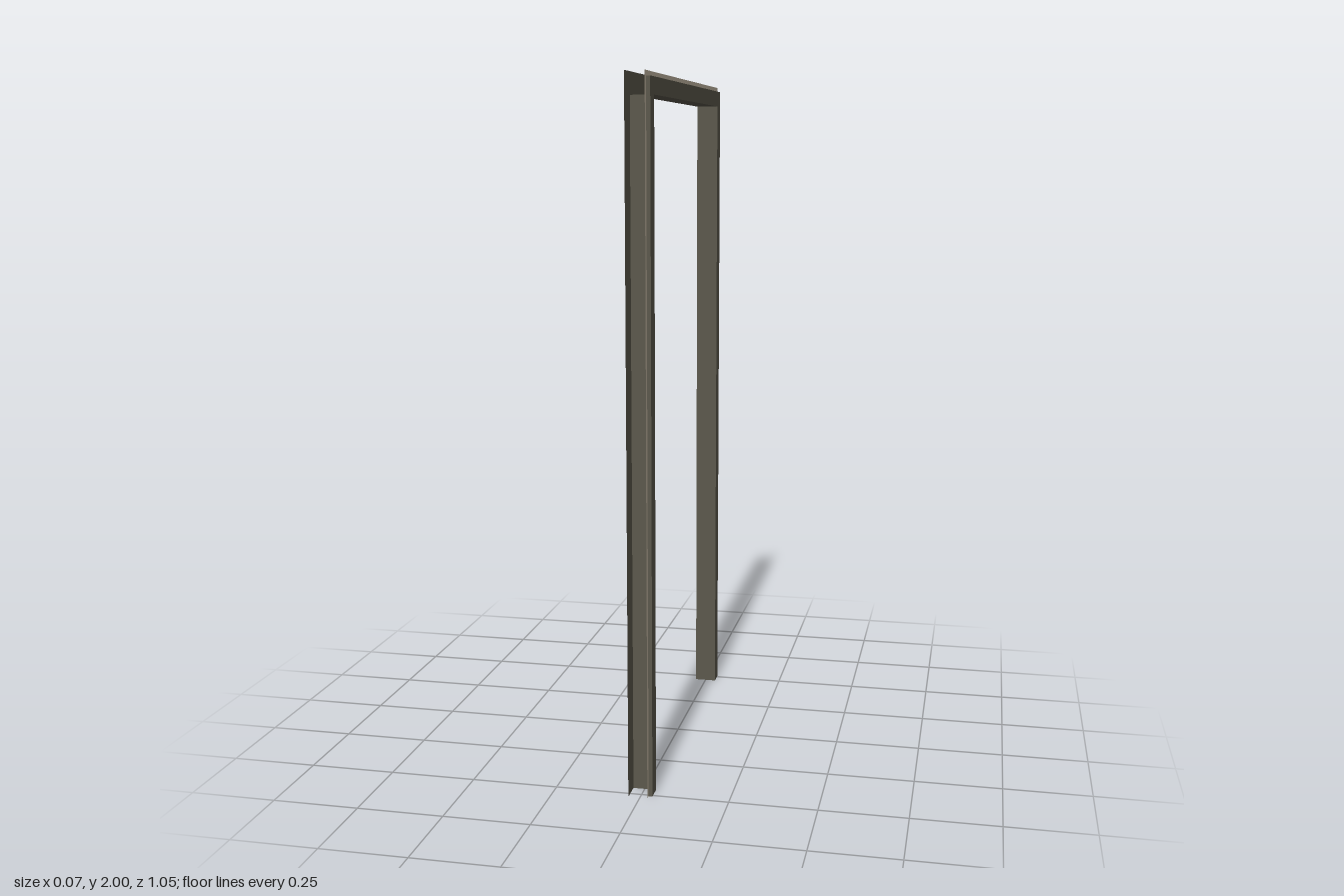
import * as THREE from 'three';

export function createModel() {
  const model = new THREE.Group();
  model.name = 'doorFrame';

  const mat = (name, color) => {
    const m = new THREE.MeshStandardMaterial({ color, side: THREE.DoubleSide });
    m.name = name;
    return m;
  };
  const paint = mat('frame paint', 0x5c594d);
  const pale = mat('pale fin', 0xc8bca6);
  const steel = mat('strike steel', 0xd6d0c4);
  const dark = mat('latch hole', 0x25241f);

  const X = 0.033; // half the depth of the channel
  const lipDepth = 0.011;
  const inner = { z: 0.461, y: 1.939 };
  const lipEdge = { z: 0.507, y: 1.986 };
  const outer = { z: 0.523, y: 2 };

  const add = (name, geo, material) => {
    const mesh = new THREE.Mesh(geo, material);
    mesh.name = name;
    model.add(mesh);
    return mesh;
  };

  // Flat U-shaped sheet between two outlines, facing +x
  const flange = (name, a, b, x, material) => {
    const s = new THREE.Shape([
      [-b.z, 0], [-a.z, 0], [-a.z, a.y], [a.z, a.y],
      [a.z, 0], [b.z, 0], [b.z, b.y], [-b.z, b.y],
    ].map(([u, v]) => new THREE.Vector2(u, v)));
    const geo = new THREE.ShapeGeometry(s).rotateY(Math.PI / 2).translate(x, 0, 0);
    return add(name, geo, material);
  };

  // Sheet running along an outline, spanning a range of x
  const band = (name, o, x0, x1) => {
    const w = x1 - x0, cx = (x0 + x1) / 2;
    for (const side of [-1, 1]) {
      add(name + (side > 0 ? 'Front' : 'Back'),
        new THREE.PlaneGeometry(w, o.y).translate(cx, o.y / 2, side * o.z), paint);
    }
    add(name + 'Top',
      new THREE.PlaneGeometry(w, 2 * o.z).rotateX(-Math.PI / 2).translate(cx, o.y, 0), paint);
  };

  // Folded sheet channel: web around the opening, two flanges, return lip
  band('jambWeb', inner, -X, X);
  flange('narrowFlange', inner, lipEdge, X, paint);
  band('returnLip', lipEdge, X - lipDepth, X);
  flange('wideFlange', inner, outer, -X, paint);

  // Pale fin standing out from the end of the return lip
  flange('paleFin', lipEdge, outer, X - lipDepth, pale);

  // Strike plate with its latch hole, on the opening side of one jamb
  add('strikePlate', new THREE.PlaneGeometry(0.032, 0.12).rotateY(Math.PI), steel)
    .position.set(-0.006, 0.89, inner.z - 0.001);
  add('latchHole', new THREE.PlaneGeometry(0.014, 0.026).rotateY(Math.PI), dark)
    .position.set(-0.006, 0.89, inner.z - 0.002);

  return model;
}
